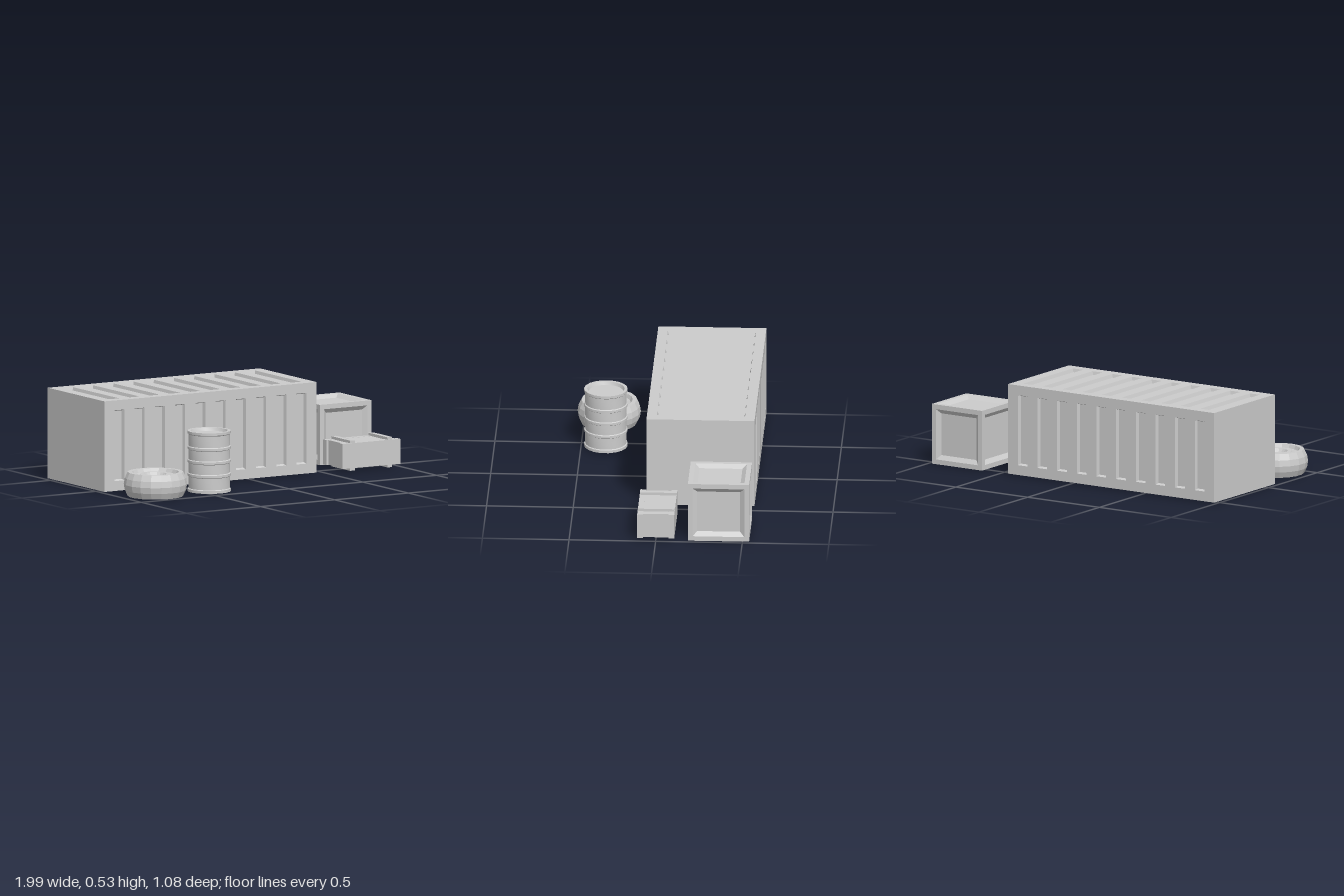
import * as THREE from 'three';
import { mergeGeometries, toCreasedNormals } from 'three/addons/utils/BufferGeometryUtils.js';

const grey = new THREE.MeshStandardMaterial({ color: 0xcccccc });
const flat = new THREE.MeshStandardMaterial({ color: 0xcccccc, flatShading: true });

function addMesh(parent, name, geometry, material = grey, x = 0, y = 0, z = 0) {
  const mesh = new THREE.Mesh(geometry, material);
  mesh.name = name;
  mesh.position.set(x, y, z);
  parent.add(mesh);
  return mesh;
}

// Rectangle corners, counter-clockwise
function corners(cx, cy, w, h) {
  return [[-1, -1], [1, -1], [1, 1], [-1, 1]].map(
    ([sx, sy]) => new THREE.Vector2(cx + sx * w / 2, cy + sy * h / 2));
}

// Flat panel facing +z with sunken rectangles that have sloping walls
function recessedPanel(w, h, recesses, depth, bevel) {
  const shape = new THREE.Shape(corners(0, 0, w, h));
  const points = [];
  const quad = (a, b, c, d) => points.push(...a, ...b, ...c, ...a, ...c, ...d);
  for (const r of recesses) {
    const rim = corners(r.x, r.y, r.w, r.h);
    const floor = corners(r.x, r.y, r.w - 2 * bevel, r.h - 2 * bevel);
    shape.holes.push(new THREE.Path(rim.slice().reverse()));
    const top = rim.map(p => [p.x, p.y, 0]);
    const low = floor.map(p => [p.x, p.y, -depth]);
    for (let i = 0; i < 4; i++) {
      const j = (i + 1) % 4;
      quad(top[i], top[j], low[j], low[i]);
    }
    quad(...low);
  }
  const face = new THREE.ShapeGeometry(shape).toNonIndexed();
  face.deleteAttribute('uv');
  if (!points.length) return face;
  const sunk = new THREE.BufferGeometry();
  sunk.setAttribute('position', new THREE.Float32BufferAttribute(points, 3));
  sunk.computeVertexNormals();
  return mergeGeometries([face, sunk]);
}

// Six panels closed into a box; recesses(side, w, h) lists the hollows on each side
function panelBox(name, size, recesses, depth, bevel) {
  const [w, h, d] = size;
  const group = new THREE.Group();
  group.name = name;
  const sides = [
    ['front', w, h, [0, 0, d / 2], 0, 0],
    ['back', w, h, [0, 0, -d / 2], 0, Math.PI],
    ['left', d, h, [w / 2, 0, 0], 0, Math.PI / 2],
    ['right', d, h, [-w / 2, 0, 0], 0, -Math.PI / 2],
    ['top', w, d, [0, h / 2, 0], -Math.PI / 2, 0],
    ['bottom', w, d, [0, -h / 2, 0], Math.PI / 2, 0],
  ];
  for (const [side, pw, ph, pos, rx, ry] of sides) {
    const geometry = recessedPanel(pw, ph, recesses(side, pw, ph), depth, bevel);
    addMesh(group, side + 'Panel', geometry, grey, ...pos).rotation.set(rx, ry, 0);
  }
  return group;
}

function lathe(profile, sides) {
  return new THREE.LatheGeometry(profile.map(([r, y]) => new THREE.Vector2(r, y)), sides);
}

export function createModel() {
  const model = new THREE.Group();
  model.name = 'cargoSet';

  // Shipping container: ten grooves on each long side, plain ends
  const container = panelBox('container', [1.436, 0.528, 0.624], (side, w, h) => {
    if (side === 'left' || side === 'right') return [];
    const grooves = [];
    for (let i = 0; i < 10; i++) {
      grooves.push({ x: (i - 4.5) * 0.137, y: 0, w: 0.068, h: h - 0.115 });
    }
    return grooves;
  }, 0.02, 0.007);
  container.position.set(-0.273, 0.274, -0.232);
  model.add(container);

  // Large crate with a sunken panel on every side but the base
  const crate = panelBox('largeCrate', [0.35, 0.352, 0.354], (side, w, h) =>
    side === 'bottom' ? [] : [{ x: 0, y: 0, w: w - 0.056, h: h - 0.056 }], 0.02, 0.025);
  crate.position.set(0.805, 0.18, -0.362);
  model.add(crate);

  // Small crate: body, overhanging front and back boards, straps and runners
  const box = new THREE.Group();
  box.name = 'smallCrate';
  box.position.set(0.8, 0, 0);
  model.add(box);
  addMesh(box, 'body', new THREE.BoxGeometry(0.36, 0.144, 0.16), grey, 0, 0.094, 0);
  for (const s of [-1, 1]) {
    addMesh(box, s > 0 ? 'frontBoard' : 'backBoard',
      new THREE.BoxGeometry(0.39, 0.146, 0.034), grey, 0, 0.094, s * 0.09);
    addMesh(box, 'topStrap', new THREE.BoxGeometry(0.032, 0.016, 0.208), grey, s * 0.126, 0.174, 0);
    addMesh(box, 'bottomRunner', new THREE.BoxGeometry(0.032, 0.016, 0.208), grey, s * 0.126, 0.014, 0);
  }

  // Oil drum: rims, three hoops and a sunken lid
  const drum = [[0, 0.01], [0.126, 0.01], [0.126, 0.026], [0.12, 0.03]];
  for (const y of [0.108, 0.187, 0.265]) {
    drum.push([0.12, y - 0.011], [0.126, y - 0.007], [0.126, y + 0.007], [0.12, y + 0.011]);
  }
  drum.push([0.12, 0.343], [0.126, 0.348], [0.126, 0.363], [0.108, 0.363], [0.1, 0.345], [0, 0.345]);
  addMesh(model, 'barrel', toCreasedNormals(lathe(drum, 18), 0.5), grey, -0.453, 0, 0.357);

  // Wheel lying on its side: tyre and dished hub, hollow underneath
  const wheel = new THREE.Group();
  wheel.name = 'wheel';
  wheel.position.set(-0.815, 0, 0.355);
  model.add(wheel);
  addMesh(wheel, 'tyre', lathe([
    [0.125, 0.112], [0.125, 0.01], [0.16, 0.01], [0.177, 0.045], [0.183, 0.08],
    [0.177, 0.115], [0.16, 0.15], [0.136, 0.15], [0.125, 0.13],
  ], 18), flat);
  addMesh(wheel, 'hub', lathe([
    [0, 0.1], [0.125, 0.1], [0.125, 0.13], [0.098, 0.122], [0.088, 0.138],
    [0.064, 0.138], [0.05, 0.12], [0, 0.12],
  ], 18), flat);

  return model;
}
